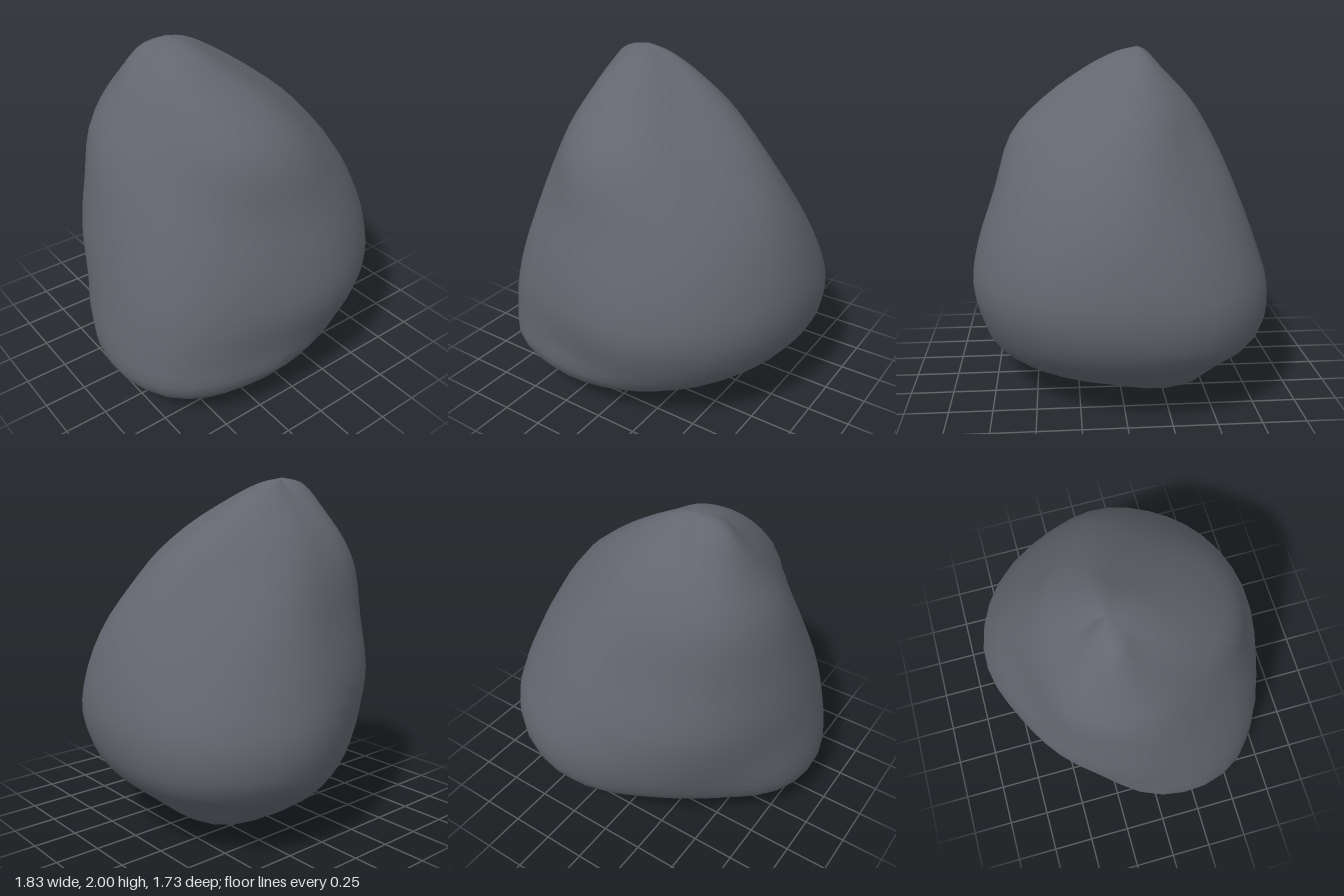
import * as THREE from 'three';

// Cross-sections, bottom to top: [y, centreX, centreZ, ten radii],
// radii step 36 degrees from +x towards +z.
const SECTIONS = [
  [0.03, -0.2, 0.1, 0.31, 0.28, 0.26, 0.29, 0.36, 0.36, 0.23, 0.2, 0.24, 0.3],
  [0.1, -0.14, 0.08, 0.56, 0.5, 0.51, 0.58, 0.66, 0.59, 0.43, 0.42, 0.55, 0.73],
  [0.25, -0.08, 0.04, 0.76, 0.73, 0.73, 0.77, 0.87, 0.79, 0.61, 0.6, 0.75, 0.84],
  [0.42, 0, 0, 0.86, 0.84, 0.83, 0.83, 0.96, 0.89, 0.71, 0.72, 0.87, 0.93],
  [0.65, 0, 0, 0.925, 0.92, 0.89, 0.85, 0.93, 0.87, 0.77, 0.77, 0.905, 0.965],
  [0.9, 0, 0, 0.89, 0.885, 0.85, 0.81, 0.86, 0.845, 0.8, 0.76, 0.83, 0.88],
  [1.2, 0, 0, 0.77, 0.75, 0.74, 0.72, 0.74, 0.79, 0.76, 0.67, 0.71, 0.71],
  [1.5, -0.08, -0.05, 0.63, 0.6, 0.68, 0.66, 0.57, 0.63, 0.62, 0.52, 0.52, 0.53],
  [1.7, -0.14, -0.1, 0.46, 0.45, 0.54, 0.52, 0.43, 0.45, 0.44, 0.35, 0.35, 0.39],
  [1.88, -0.2, -0.15, 0.26, 0.25, 0.32, 0.32, 0.26, 0.28, 0.21, 0.13, 0.13, 0.18],
  [1.97, -0.22, -0.14, 0.11, 0.1, 0.13, 0.13, 0.13, 0.17, 0.1, 0.045, 0.04, 0.07],
];
const DIRECTIONS = 10;
const BOTTOM = new THREE.Vector3(-0.2, 0, 0.1);
const TOP = new THREE.Vector3(-0.24, 2, -0.14);
const SIDES = 40;
const ROWS = 36;

// Smooth periodic radius between the given directions
function radiusAt(section, turn) {
  const t = turn * DIRECTIONS, i = Math.floor(t), f = t - i;
  const r = (k) => section[3 + ((k + DIRECTIONS) % DIRECTIONS)];
  const [a, b, c, d] = [r(i - 1), r(i), r(i + 1), r(i + 2)];
  return b + 0.5 * f * (c - a + f * (2 * a - 5 * b + 4 * c - d + f * (3 * (b - c) + d - a)));
}

// One curve from the underside to the peak
function meridian(turn) {
  const angle = turn * Math.PI * 2;
  const points = SECTIONS.map((s) => {
    const r = radiusAt(s, turn);
    return new THREE.Vector3(s[1] + r * Math.cos(angle), s[0], s[2] + r * Math.sin(angle));
  });
  return new THREE.CatmullRomCurve3([BOTTOM, ...points, TOP]);
}

function boulderGeometry() {
  const positions = [...BOTTOM.toArray(), ...TOP.toArray()];
  const index = [];
  const at = (side, row) => 2 + (side % SIDES) * (ROWS - 1) + row - 1;
  for (let s = 0; s < SIDES; s++) {
    const curve = meridian(s / SIDES);
    for (let row = 1; row < ROWS; row++) positions.push(...curve.getPoint(row / ROWS).toArray());
    index.push(0, at(s, 1), at(s + 1, 1));
    for (let row = 1; row < ROWS - 1; row++) {
      const a = at(s, row), b = at(s + 1, row), c = at(s + 1, row + 1), d = at(s, row + 1);
      index.push(a, d, c, a, c, b);
    }
    index.push(at(s, ROWS - 1), 1, at(s + 1, ROWS - 1));
  }
  const geometry = new THREE.BufferGeometry();
  geometry.setAttribute('position', new THREE.Float32BufferAttribute(positions, 3));
  geometry.setIndex(index);
  geometry.computeVertexNormals();
  return geometry;
}

export function createModel() {
  const stone = new THREE.MeshStandardMaterial({ color: 0x63666f });
  stone.name = 'slate grey stone';

  const boulder = new THREE.Mesh(boulderGeometry(), stone);
  boulder.name = 'boulder';

  const model = new THREE.Group();
  model.name = 'rock';
  model.add(boulder);
  return model;
}
